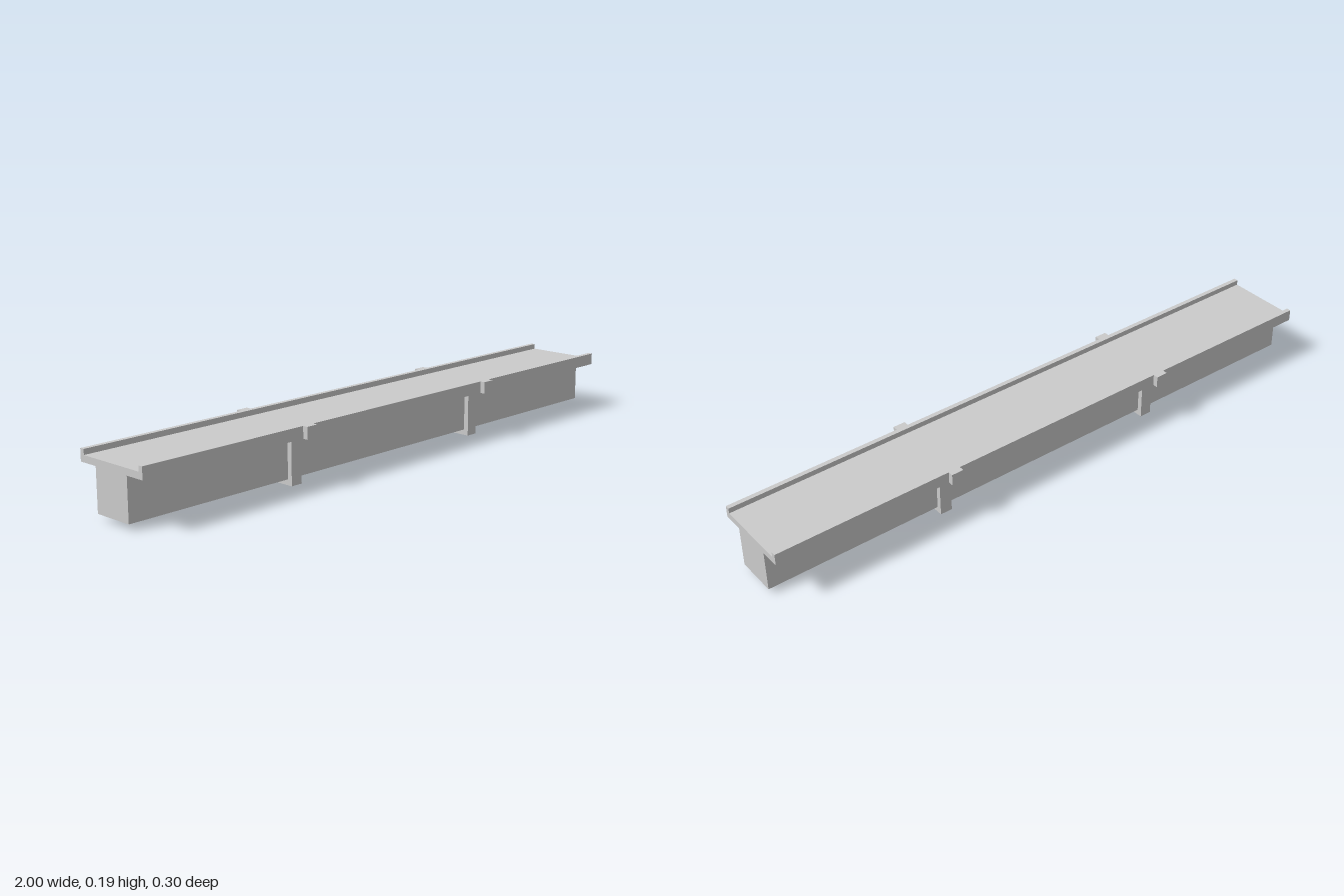
import * as THREE from 'three';

const material = new THREE.MeshStandardMaterial({ color: 0xcccccc, flatShading: true });

// Extrudes a (z, y) outline along x, centred on the given x
function extrudeAlongX(name, outline, length, x = 0) {
  const shape = new THREE.Shape(outline.map(([z, y]) => new THREE.Vector2(-z, y)));
  const geometry = new THREE.ExtrudeGeometry(shape, { depth: length, bevelEnabled: false });
  geometry.translate(0, 0, -length / 2);
  geometry.rotateY(Math.PI / 2);
  const mesh = new THREE.Mesh(geometry, material);
  mesh.name = name;
  mesh.position.x = x;
  return mesh;
}

// Completes a half outline by mirroring it across z = 0
const mirrored = half => [...half, ...half.map(([z, y]) => [-z, y]).reverse()];

export function createModel() {
  const model = new THREE.Group();
  model.name = 'bridgeSpan';

  const deckBottom = 0.152, deckTop = 0.173, curbTop = 0.19;
  const beamHalf = 0.067, beamBottom = 0.018;
  const bandHalf = 0.083, deckHalf = 0.133, curbInner = 0.118;

  // Box beam, deck and raised curbs share one continuous section
  model.add(extrudeAlongX('beamAndDeck', mirrored([
    [beamHalf, beamBottom], [beamHalf, deckBottom], [deckHalf, deckBottom],
    [deckHalf, curbTop], [curbInner, curbTop], [curbInner, deckTop],
  ]), 2));

  for (const x of [-0.4, 0.4]) {
    // U-shaped strap around the beam
    model.add(extrudeAlongX('beamStrap', mirrored([
      [bandHalf, 0], [bandHalf, deckBottom], [beamHalf, deckBottom], [beamHalf, beamBottom],
    ]), 0.04, x));

    // Blocks on the outside of both curbs
    for (const side of [-1, 1]) {
      const block = new THREE.Mesh(
        new THREE.BoxGeometry(0.04, curbTop - deckBottom, 0.017), material);
      block.name = 'curbBlock';
      block.position.set(x, (curbTop + deckBottom) / 2, side * (deckHalf + 0.0085));
      model.add(block);
    }
  }
  return model;
}
